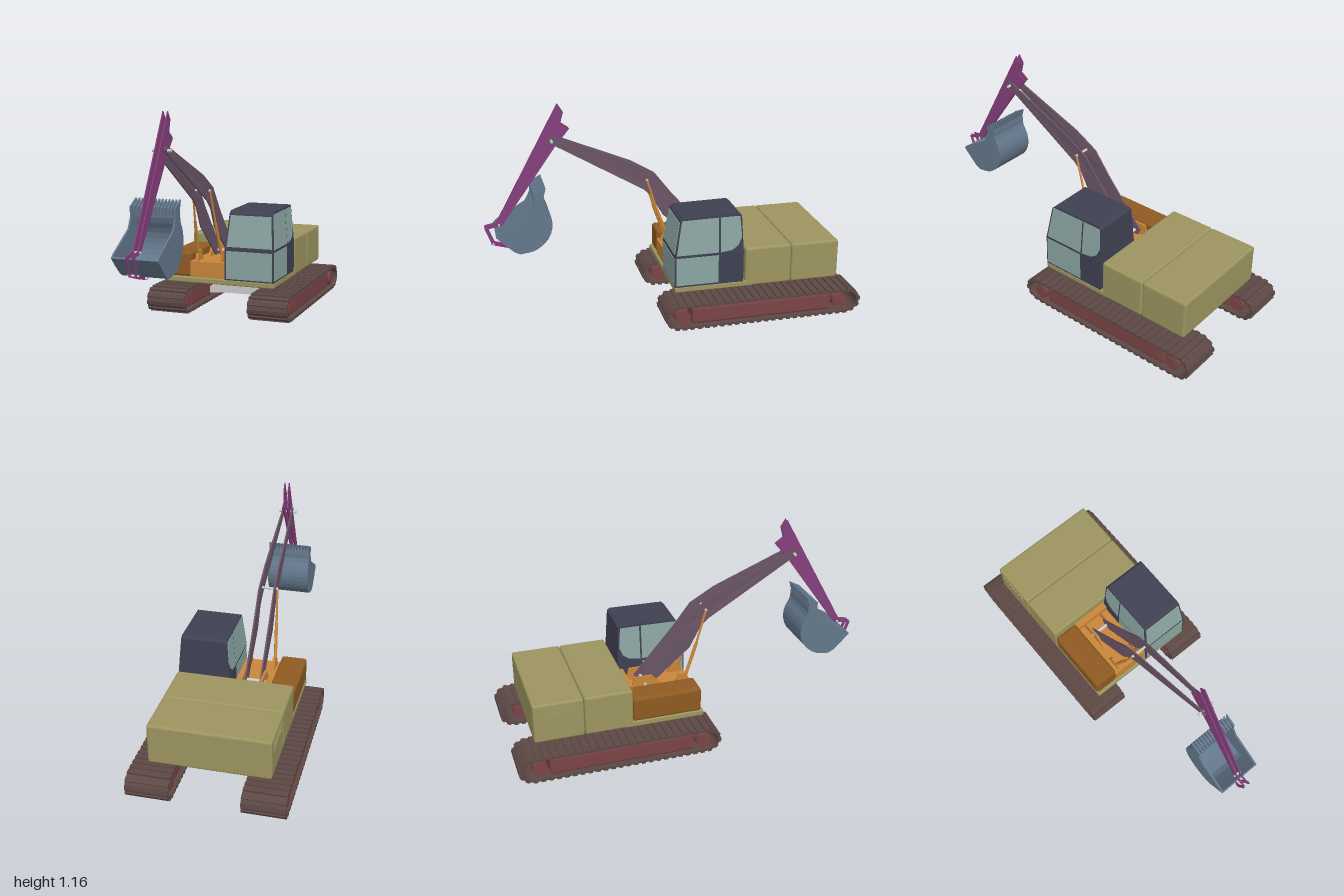
import * as THREE from 'three';
import { RoundedBoxGeometry } from 'three/addons/geometries/RoundedBoxGeometry.js';

const mat = (color) => new THREE.MeshStandardMaterial({ color, flatShading: true, side: THREE.DoubleSide });
const M = {
  grey: mat(0xcccccc), olive: mat(0x9c9560), brown: mat(0x8f5a22), orange: mat(0xc9863a),
  boom: mat(0x6b5566), stick: mat(0x853f7c), link: mat(0x9a2a8a), bucket: mat(0x64788c),
  track: mat(0x5c4845), frame: mat(0x7a4446), cab: mat(0x3f4152), glass: mat(0x8ba5a2),
};
const ARM_X = -0.075; // centre line of the digging arm

function add(parent, name, geo, material, x = 0, y = 0, z = 0) {
  const m = new THREE.Mesh(geo, material);
  m.name = name;
  m.position.set(x, y, z);
  parent.add(m);
  return m;
}

// Box given by its limits on each axis, optionally rounded
function block(parent, name, material, [x0, x1], [y0, y1], [z0, z1], r = 0) {
  const s = [x1 - x0, y1 - y0, z1 - z0];
  const geo = r ? new RoundedBoxGeometry(...s, 2, r) : new THREE.BoxGeometry(...s);
  return add(parent, name, geo, material, (x0 + x1) / 2, (y0 + y1) / 2, (z0 + z1) / 2);
}

// Side profile of [z, y] points, extruded from x0 to x1
function profile(pts, x0, x1, hole) {
  const v = (a) => a.map((p) => new THREE.Vector2(p[0], p[1]));
  const shape = new THREE.Shape(v(pts));
  if (hole) shape.holes.push(new THREE.Path(v(hole)));
  const geo = new THREE.ExtrudeGeometry(shape, { depth: x1 - x0, bevelEnabled: false });
  return geo.rotateY(-Math.PI / 2).translate(x1, 0, 0);
}

// Moves every x by a rule of (x, y, z)
function bendX(geo, rule) {
  const p = geo.attributes.position;
  for (let i = 0; i < p.count; i++) p.setX(i, rule(p.getX(i), p.getY(i), p.getZ(i)));
  geo.computeVertexNormals();
  return geo;
}

// Cylinder lying along x
function pin(parent, name, material, r, x0, x1, y, z, sides = 12) {
  const geo = new THREE.CylinderGeometry(r, r, x1 - x0, sides).rotateZ(Math.PI / 2);
  return add(parent, name, geo, material, (x0 + x1) / 2, y, z);
}

function rod(parent, name, material, a, b, r) {
  const path = new THREE.LineCurve3(new THREE.Vector3(...a), new THREE.Vector3(...b));
  return add(parent, name, new THREE.TubeGeometry(path, 1, r, 10), material);
}

// Flat bar between two [z, y] points
function bar([z0, y0], [z1, y1], w, x0, x1) {
  const l = Math.hypot(z1 - z0, y1 - y0);
  const nz = (-(y1 - y0) / l) * w / 2, ny = ((z1 - z0) / l) * w / 2;
  return profile([[z0 + nz, y0 + ny], [z1 + nz, y1 + ny], [z1 - nz, y1 - ny], [z0 - nz, y0 - ny]], x0, x1);
}

// Loop of the track belt at a given half height and end reach
function beltLoop(h, e) {
  const pts = [], n = 10;
  for (const [cz, s] of [[0.02, 1], [-0.91, -1]]) {
    for (let i = 0; i <= n; i++) {
      const a = Math.PI / 2 - (Math.PI * i) / n;
      pts.push([cz + s * e * Math.cos(a), 0.073 + s * h * Math.sin(a)]);
    }
  }
  return pts;
}

function buildTrack(side) {
  const g = new THREE.Group();
  g.name = side > 0 ? 'leftTrack' : 'rightTrack';
  const span = (a, b) => (side > 0 ? [a, b] : [-b, -a]);
  const [x0, x1] = span(0.185, 0.41);
  add(g, 'trackBelt', profile(beltLoop(0.065, 0.08), x0, x1, beltLoop(0.055, 0.066)), M.track);
  // Shoes with raised bars around the belt
  const loop = beltLoop(0.066, 0.081).map((p) => new THREE.Vector3(0, p[1], p[0]));
  const path = new THREE.CurvePath();
  loop.forEach((p, i) => path.add(new THREE.LineCurve3(p, loop[(i + 1) % loop.length])));
  for (let i = 0; i < 56; i++) {
    const p = path.getPointAt(i / 56), t = path.getTangentAt(i / 56);
    const shoe = add(g, 'trackShoe', new THREE.BoxGeometry(0.225, 0.013, 0.022), M.track, (x0 + x1) / 2, p.y, p.z);
    shoe.rotation.x = Math.atan2(-t.y, t.z);
  }
  block(g, 'trackFrame', M.frame, span(0.205, 0.395), [0.024, 0.124], [-0.83, -0.04], 0.015);
  for (const z of [0.01, -0.88]) {
    const [a, b] = span(0.2, 0.398), [c, d] = span(0.196, 0.402);
    pin(g, 'trackWheel', M.frame, 0.042, a, b, 0.07, z, 24);
    pin(g, 'wheelHub', M.frame, 0.032, c, d, 0.07, z, 24);
  }
  return g;
}

function buildCab() {
  const g = new THREE.Group();
  g.name = 'cab';
  const mid = 0.1735, sill = 0.385;
  const taper = (x, y) => mid + (x - mid) * (1 - 0.6 * Math.max(0, y - sill));
  const put = (name, pts, x0, x1, m) => add(g, name, bendX(profile(pts, x0, x1), taper), m);
  put('lowerCab', [[0.035, 0.21], [0.035, sill], [-0.345, sill], [-0.345, 0.21]], 0.032, 0.315, M.cab);
  put('upperCab', [[0.035, sill], [0.002, 0.578], [-0.015, 0.595], [-0.32, 0.6], [-0.335, 0.588], [-0.345, sill]], 0.032, 0.315, M.cab);
  // Side panes run through the cab and stand just proud of both sides
  const s0 = 0.03, s1 = 0.317;
  put('lowerDoorGlass', [[0.028, 0.22], [0.028, 0.378], [-0.205, 0.378], [-0.205, 0.22]], s0, s1, M.glass);
  put('upperDoorGlass', [[0.025, 0.393], [-0.006, 0.583], [-0.207, 0.586], [-0.207, 0.393]], s0, s1, M.glass);
  put('rearSideGlass', [[-0.217, 0.393], [-0.217, 0.586], [-0.325, 0.586], [-0.335, 0.47], [-0.315, 0.425], [-0.28, 0.401]], s0, s1, M.glass);
  put('lowerWindscreen', [[0.038, 0.218], [0.038, 0.374], [0, 0.374], [0, 0.218]], 0.042, 0.305, M.glass);
  put('upperWindscreen', [[0.036, 0.397], [0.007, 0.57], [-0.03, 0.57], [-0.03, 0.397]], 0.042, 0.305, M.glass);
  return g;
}

function buildUpperBody() {
  const g = new THREE.Group();
  g.name = 'upperBody';
  block(g, 'deck', M.olive, [-0.318, 0.316], [0.18, 0.211], [-0.4, 0.035], 0.006);
  // Two engine covers meeting at a seam
  block(g, 'frontCover', M.olive, [-0.318, 0.316], [0.18, 0.4], [-0.618, -0.357], 0.012);
  block(g, 'rearCover', M.olive, [-0.318, 0.316], [0.18, 0.4], [-0.89, -0.62], 0.012);
  for (let i = 0; i < 4; i++)
    block(g, 'ventSlat', M.olive, [-0.321, -0.31], [0.325 + i * 0.014, 0.332 + i * 0.014], [-0.85, -0.66]);
  block(g, 'sideLocker', M.brown, [-0.318, -0.178], [0.211, 0.346], [-0.356, 0.022], 0.014);
  block(g, 'boomDeck', M.orange, [-0.178, 0.03], [0.211, 0.3], [-0.356, 0.022]);
  block(g, 'rearBoomDeck', M.orange, [-0.178, 0.03], [0.211, 0.345], [-0.356, -0.32]);
  for (const s of [-1, 1]) {
    const foot = ARM_X + s * 0.055, ram = ARM_X + s * 0.07;
    add(g, 'boomBracket', profile([[-0.13, 0.29], [-0.2, 0.37], [-0.3, 0.37], [-0.32, 0.29]], foot - 0.006, foot + 0.006), M.orange);
    add(g, 'ramBracket', profile([[0.015, 0.29], [-0.01, 0.36], [-0.05, 0.36], [-0.08, 0.29]], ram - 0.008, ram + 0.008), M.orange);
    // Lifting ram
    const low = [ram, 0.32, -0.02], mid = [ARM_X + s * 0.06, 0.53, 0.054], top = [ARM_X + s * 0.05, 0.712, 0.11];
    rod(g, 'ramCylinder', M.orange, low, mid, 0.009);
    rod(g, 'ramRod', M.orange, mid, top, 0.006);
  }
  pin(g, 'boomFootPin', M.grey, 0.009, ARM_X - 0.065, ARM_X + 0.065, 0.325, -0.24);
  return g;
}

function buildArm() {
  const g = new THREE.Group();
  g.name = 'diggingArm';
  const boom = [[0.635, 0.955], [0.647, 0.972], [0.635, 0.986], [0.61, 0.985], [0.185, 0.805], [0.05, 0.725],
    [-0.05, 0.595], [-0.275, 0.335], [-0.26, 0.3], [-0.215, 0.3], [0.02, 0.5], [0.08, 0.615], [0.13, 0.66]];
  const stick = [[0.58, 1.158], [0.552, 1.115], [0.568, 1.055], [0.522, 1.023], [0.6, 0.93], [0.905, 0.503], [0.935, 0.515]];
  for (const s of [-1, 1]) {
    // Boom plates draw together towards the tip
    const lean = (x, y, z) => ARM_X + x + s * (0.042 - 0.03 * Math.max(0, z - 0.1));
    add(g, 'boomPlate', bendX(profile(boom, -0.004, 0.004), lean), M.boom);
    const x = ARM_X + s * 0.0125;
    add(g, 'stickPlate', profile(stick, x - 0.003, x + 0.003), M.stick);
    // Bucket linkage
    const links = [[[0.915, 0.512], [0.994, 0.497], 0.018], [[0.992, 0.5], [0.955, 0.4], 0.016], [[0.965, 0.405], [0.855, 0.373], 0.014]];
    links.forEach(([a, b, w], i) => {
      const lx = ARM_X + s * (0.0125 + (i % 2) * 0.006);
      add(g, 'bucketLink', bar(a, b, w, lx - 0.003, lx + 0.003), i === 2 ? M.link : M.stick);
    });
  }
  const pins = [['elbowPin', 0.008, 0.05, 0.966, 0.622], ['ramPin', 0.007, 0.055, 0.712, 0.11],
    ['stickPin', 0.006, 0.022, 0.51, 0.92], ['linkPin', 0.006, 0.028, 0.405, 0.957], ['bucketPin', 0.006, 0.028, 0.375, 0.86]];
  for (const [name, r, w, y, z] of pins) pin(g, name, M.grey, r, ARM_X - w, ARM_X + w, y, z);
  return g;
}

function buildBucket() {
  const g = new THREE.Group();
  g.name = 'bucket';
  const x0 = -0.198, x1 = 0.046;
  // Curved back from lip to heel
  const pts = [[0.715, 0.7], [0.685, 0.685], [0.68, 0.633], [0.65, 0.575], [0.645, 0.51], [0.67, 0.445], [0.73, 0.392], [0.79, 0.377], [0.845, 0.382], [0.945, 0.478]];
  const outer = new THREE.SplineCurve(pts.map((p) => new THREE.Vector2(...p))).getPoints(20);
  const inner = outer.map((p, i) => {
    const a = outer[Math.max(0, i - 1)], b = outer[Math.min(20, i + 1)], l = a.distanceTo(b);
    return [p.x - ((b.y - a.y) / l) * 0.009, p.y + ((b.x - a.x) / l) * 0.009];
  });
  const rim = outer.map((p) => [p.x, p.y]);
  add(g, 'bucketShell', profile([...rim, ...inner.reverse()], x0, x1), M.bucket);
  const cheek = [...rim, [0.925, 0.497], [0.765, 0.592], [0.738, 0.645], [0.737, 0.692]];
  for (const x of [x0, x1 - 0.009]) add(g, 'bucketCheek', profile(cheek, x, x + 0.009), M.bucket);
  // Row of teeth on the lip
  const tooth = [[0.672, 0.735], [0.737, 0.7], [0.737, 0.66], [0.682, 0.66], [0.684, 0.69]];
  for (let i = 0; i < 14; i++) {
    const x = x0 + (i * (x1 - x0 - 0.009)) / 13;
    add(g, 'tooth', profile(tooth, x, x + 0.009), M.bucket);
  }
  return g;
}

export function createModel() {
  const model = new THREE.Group();
  model.name = 'excavator';
  // Undercarriage and slewing ring
  const arm = new THREE.Shape([[-0.2, 0.043], [-0.09, 0.05], [0.09, 0.05], [0.2, 0.043], [0.2, 0.083], [0.09, 0.102], [-0.09, 0.102], [-0.2, 0.083]]
    .map((p) => new THREE.Vector2(...p)));
  add(model, 'crossBeam', new THREE.ExtrudeGeometry(arm, { depth: 0.22, bevelEnabled: false }), M.grey, 0, 0, -0.555);
  const ring = [[0, 0.1], [0.088, 0.1], [0.088, 0.142], [0.082, 0.146], [0.082, 0.154], [0.088, 0.158], [0.088, 0.182], [0, 0.182]]
    .map((p) => new THREE.Vector2(...p));
  add(model, 'slewRing', new THREE.LatheGeometry(ring, 32), M.grey, 0, 0, -0.445);
  model.add(buildTrack(1), buildTrack(-1), buildUpperBody(), buildCab(), buildArm(), buildBucket());
  return model;
}
